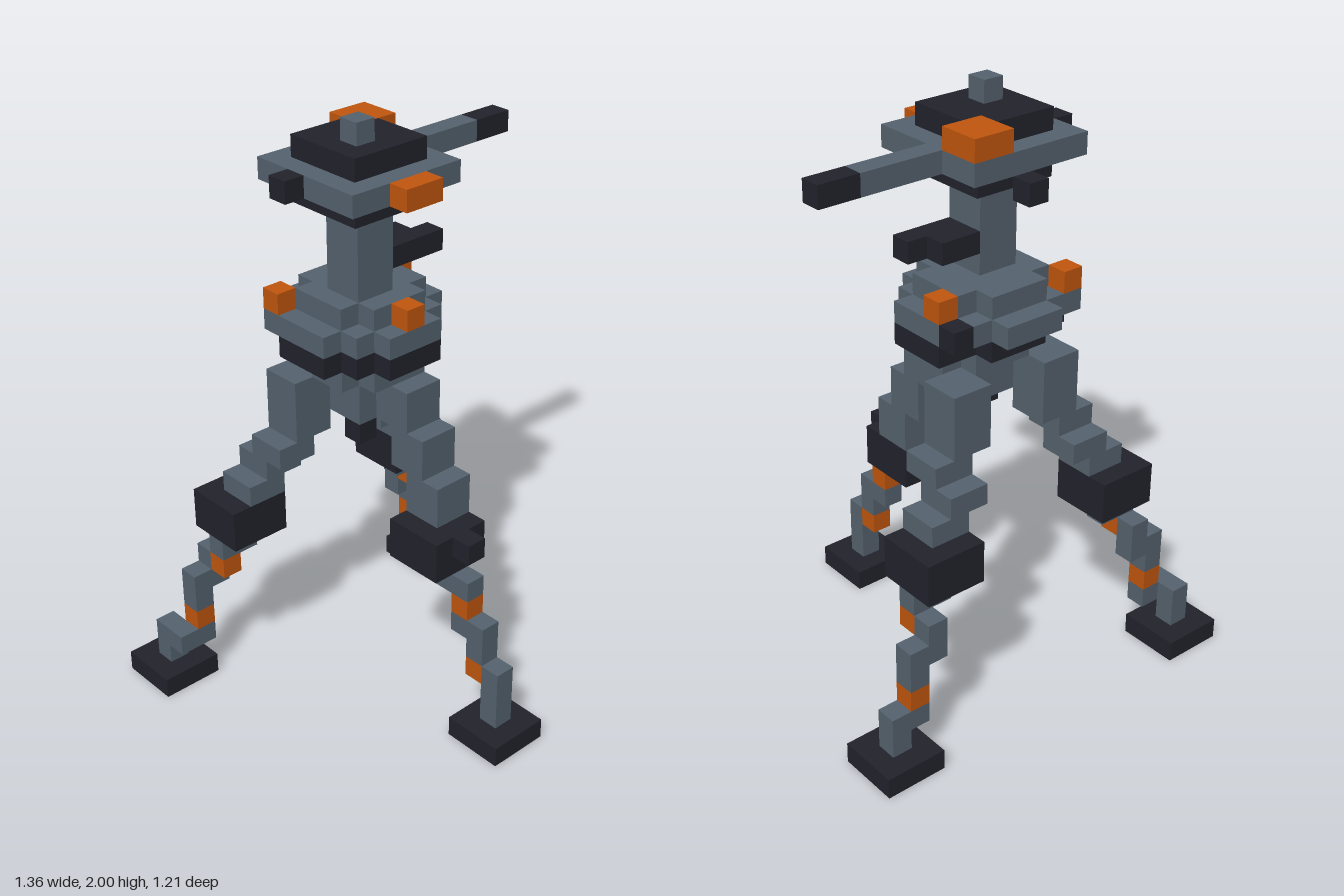
import * as THREE from 'three';

const U = 2 / 28; // one block
const steel = new THREE.MeshStandardMaterial({ color: 0x55626e });
steel.name = 'steel grey';
const dark = new THREE.MeshStandardMaterial({ color: 0x22222c });
dark.name = 'dark metal';
const orange = new THREE.MeshStandardMaterial({ color: 0xc1560e });
orange.name = 'orange';

// Box spanning inclusive block ranges; x and z are centred on whole numbers, y starts at 0
function block(parent, name, mat, x, y, z) {
  const [x0, x1 = x0] = [].concat(x);
  const [y0, y1 = y0] = [].concat(y);
  const [z0, z1 = z0] = [].concat(z);
  const lo = Math.min(x0, x1), hi = Math.max(x0, x1);
  const mesh = new THREE.Mesh(
    new THREE.BoxGeometry((hi - lo + 1) * U, (y1 - y0 + 1) * U, (z1 - z0 + 1) * U), mat);
  mesh.position.set((lo + hi) / 2 * U, (y0 + y1 + 1) / 2 * U, (z0 + z1) / 2 * U);
  mesh.name = name;
  parent.add(mesh);
}

function group(root, name) {
  const g = new THREE.Group();
  g.name = name;
  root.add(g);
  return g;
}

// Stepped round disc: rows of [half width, z range]
function disc(parent, name, mat, y, rows) {
  for (const [w, z] of rows) block(parent, name, mat, [-w, w], y, z);
}

// Rear leg; s = 1 for left, -1 for right
function rearLeg(root, s, name) {
  const g = group(root, name);
  const part = (n, m, x, y, z) => block(g, n, m, [].concat(x).map(v => v * s), y, z);
  part('thigh', steel, [2, 3], [13, 15], [-4, -3]);
  part('thigh', steel, [3, 4], 12, [-4, -3]);
  part('thigh', steel, [3, 4], 11, [-5, -4]);
  part('thigh', steel, [4, 5], 10, [-5, -4]);
  part('knee', dark, [4, 6], [8, 9], [-6, -4]);
  part('shin', steel, [5, 6], 7, -5);
  part('shinBand', orange, 6, 6, -5);
  part('shin', steel, 6, 6, -6);
  part('shin', steel, [6, 7], 5, -6);
  part('shin', steel, 7, 4, -6);
  part('ankleBand', orange, 7, 3, -6);
  part('ankle', steel, [7, 8], 2, -6);
  if (s > 0) part('ankle', steel, 8, 1, -6);
  else part('ankle', steel, 8, [1, 2], -7);
  part('foot', dark, [7, 9], 0, s > 0 ? [-7, -5] : [-8, -6]);
}

function frontLeg(root) {
  const g = group(root, 'frontLeg');
  block(g, 'thigh', steel, [0, 1], [14, 15], [0, 1]);
  block(g, 'thigh', steel, [0, 1], [12, 13], [1, 2]);
  block(g, 'thigh', steel, [0, 1], [10, 11], [2, 3]);
  block(g, 'knee', dark, [-1, 1], [8, 9], [2, 4]);
  block(g, 'kneeCap', dark, 0, 9, 5);
  block(g, 'shin', steel, 0, 7, [4, 5]);
  block(g, 'shinBand', orange, 0, 6, 5);
  block(g, 'shin', steel, 0, 5, [5, 6]);
  block(g, 'shin', steel, 0, 4, 6);
  block(g, 'ankleBand', orange, 0, 3, 6);
  block(g, 'ankle', steel, 0, [1, 3], 7);
  block(g, 'foot', dark, [-1, 1], 0, [6, 8]);
}

export function createModel() {
  const root = new THREE.Group();
  root.name = 'tripodTurret';

  // Legs
  rearLeg(root, 1, 'leftLeg');
  rearLeg(root, -1, 'rightLeg');
  frontLeg(root);

  // Hip below the platform
  const hip = group(root, 'hip');
  block(hip, 'hipCore', steel, [-1, 1], [14, 15], [-2, -1]);
  block(hip, 'drain', dark, -1, 13, -1);
  disc(hip, 'hipPlate', steel, 16, [[1, 0], [2, [-2, -1]], [1, -3]]);

  // Platform
  const base = group(root, 'platform');
  disc(base, 'darkRing', dark, 17, [[1, 1], [2, 0], [3, [-3, -1]], [1, -4]]);
  disc(base, 'deck', steel, 18, [[1, 1], [2, 0], [3, [-3, -1]], [2, -4], [1, -5]]);
  block(base, 'deck', steel, -3, 18, -4);
  block(base, 'vent', dark, 3, 18, -4);
  disc(base, 'upperDeck', steel, 19, [[1, 0], [2, [-3, -1]], [1, -4]]);
  block(base, 'frontLamp', orange, 0, 19, 1);
  block(base, 'leftLamp', orange, 3, 19, -3);
  block(base, 'rightLamp', orange, -3, 19, -4);

  // Mast with side box
  const mast = group(root, 'mast');
  block(mast, 'column', steel, [-1, 0], [20, 23], [-2, -1]);
  block(mast, 'sideBox', dark, [1, 2], 21, [-2, -1]);
  block(mast, 'sideBoxEnd', dark, 3, 21, -1);

  // Head
  const head = group(root, 'head');
  block(head, 'lowerPlate', dark, [-2, 1], 24, [-3, 0]);
  block(head, 'rearPod', dark, 0, 24, -5);
  block(head, 'mainPlate', steel, [-3, 2], 25, [-4, 1]);
  block(head, 'frontSensor', orange, [-1, 0], 25, 2);
  block(head, 'counterweight', dark, -4, 25, -2);
  block(head, 'barrel', steel, [3, 6], 25, -2);
  block(head, 'muzzle', dark, [7, 8], 25, -2);
  block(head, 'cap', dark, [-2, 1], 26, [-2, 0]);
  block(head, 'cap', dark, [-2, 0], 26, -3);
  block(head, 'ammoBox', orange, [1, 2], 26, [-4, -3]);
  block(head, 'antenna', steel, -1, 27, -1);

  return root;
}
